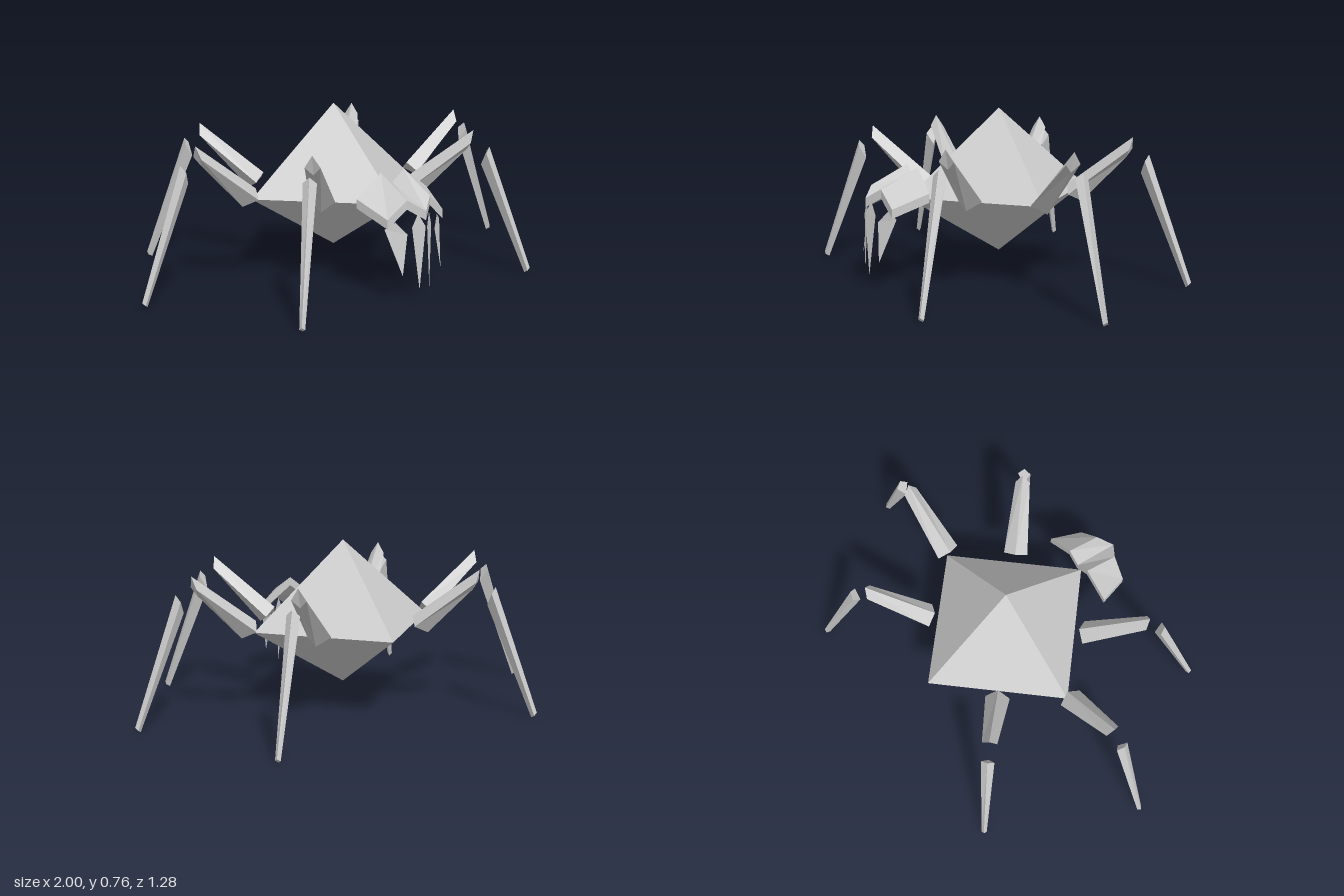
import * as THREE from 'three';

const material = new THREE.MeshStandardMaterial({ color: 0xcccccc, flatShading: true });
const thinMaterial = new THREE.MeshStandardMaterial({ color: 0xcccccc, flatShading: true, side: THREE.DoubleSide });

// Flat-shaded mesh from a list of triangle corners
function facets(name, corners, mat = material) {
  const geo = new THREE.BufferGeometry();
  geo.setAttribute('position', new THREE.Float32BufferAttribute(corners.flat(), 3));
  geo.computeVertexNormals();
  const mesh = new THREE.Mesh(geo, mat);
  mesh.name = name;
  return mesh;
}

// Closed beam between two four-cornered cross-sections
function beam(name, a, b) {
  const tris = [];
  for (let i = 0; i < 4; i++) {
    const j = (i + 1) % 4;
    tris.push(a[i], a[j], b[j], a[i], b[j], b[i]);
  }
  tris.push(b[0], b[1], b[2], b[0], b[2], b[3]);
  tris.push(a[0], a[2], a[1], a[0], a[3], a[2]);
  return facets(name, tris);
}

// Diamond section of a leg: upper corner, side corners, lower corner
const diamond = (top, mid, bottom, half) => [
  [...top, 0], [...mid, half], [...bottom, 0], [...mid, -half],
];

function createLeg(name, angle, inset, z) {
  const leg = new THREE.Group();
  leg.name = name;
  const segments = new THREE.Group();
  segments.position.x = -inset;
  segments.add(
    beam('upperLeg',
      diamond([0.43, 0.43], [0.452, 0.392], [0.5, 0.358], 0.055),
      diamond([0.727, 0.655], [0.718, 0.602], [0.7, 0.567], 0.033)),
    beam('lowerLeg',
      diamond([0.8, 0.582], [0.788, 0.555], [0.765, 0.5], 0.029),
      diamond([1.0, 0.024], [0.99, 0.013], [0.976, 0.002], 0.012)),
  );
  leg.add(segments);
  leg.rotation.y = angle;
  leg.position.z = z;
  return leg;
}

function createHead() {
  const head = new THREE.Group();
  head.name = 'head';
  // Folded plate: back and front edge points from the middle outwards
  const back = [[0, 0.475, 0.41], [0.063, 0.525, 0.41], [0.194, 0.43, 0.41]];
  const front = [[0, 0.395, 0.632], [0.063, 0.44, 0.582], [0.152, 0.365, 0.565]];
  const drop = 0.04;
  const section = (p, q) => [q, p, [p[0], p[1] - drop, p[2]], [q[0], q[1] - drop, q[2]]];
  // Flat fangs: outer corner, top, inner corner, tip
  const fangs = [
    [[0.053, 0.325, 0.605], [0.03, 0.385, 0.615], [0.004, 0.33, 0.635], [0.027, 0.055, 0.63]],
    [[0.152, 0.32, 0.545], [0.115, 0.35, 0.57], [0.075, 0.3, 0.602], [0.105, 0.125, 0.612]],
  ];
  for (const s of [1, -1]) {
    const side = s > 0 ? 'left' : 'right';
    const mirror = ([x, y, z]) => [x * s, y, z];
    for (let i = 0; i < 2; i++) {
      const ends = [back, front].map((edge) => {
        const [p, q] = [mirror(edge[i]), mirror(edge[i + 1])];
        return s > 0 ? section(p, q) : section(q, p);
      });
      head.add(beam(side + 'HeadPlate' + (i + 1), ends[0], ends[1]));

      const [o, t, n, tip] = fangs[i].map(mirror);
      const tris = s > 0 ? [o, t, n, o, n, tip] : [o, n, t, o, tip, n];
      head.add(facets(side + 'Fang' + (i + 1), tris, thinMaterial));
    }
  }
  return head;
}

export function createModel() {
  const model = new THREE.Group();
  model.name = 'spider';

  // Body: two pyramids of unequal height on a shared square
  const rim = [[0, 0.38, 0.437], [0.445, 0.38, -0.01], [0, 0.38, -0.457], [-0.445, 0.38, -0.01]];
  const top = [0, 0.762, -0.01];
  const bottom = [0, 0.102, -0.01];
  const tris = [];
  rim.forEach((p, i) => {
    const q = rim[(i + 1) % 4];
    tris.push(p, q, top, q, p, bottom);
  });
  model.add(facets('body', tris));

  model.add(createHead());

  // Three pairs of legs; the diagonal ones sit closer in
  const q = Math.PI / 4;
  model.add(
    createLeg('leftMiddleLeg', 0, 0, 0),
    createLeg('rightMiddleLeg', 4 * q, 0, 0),
    createLeg('leftFrontLeg', -q, 0.1, -0.005),
    createLeg('rightFrontLeg', -3 * q, 0.1, -0.005),
    createLeg('leftBackLeg', q, 0.1, -0.005),
    createLeg('rightBackLeg', 3 * q, 0.1, -0.005),
  );
  return model;
}
